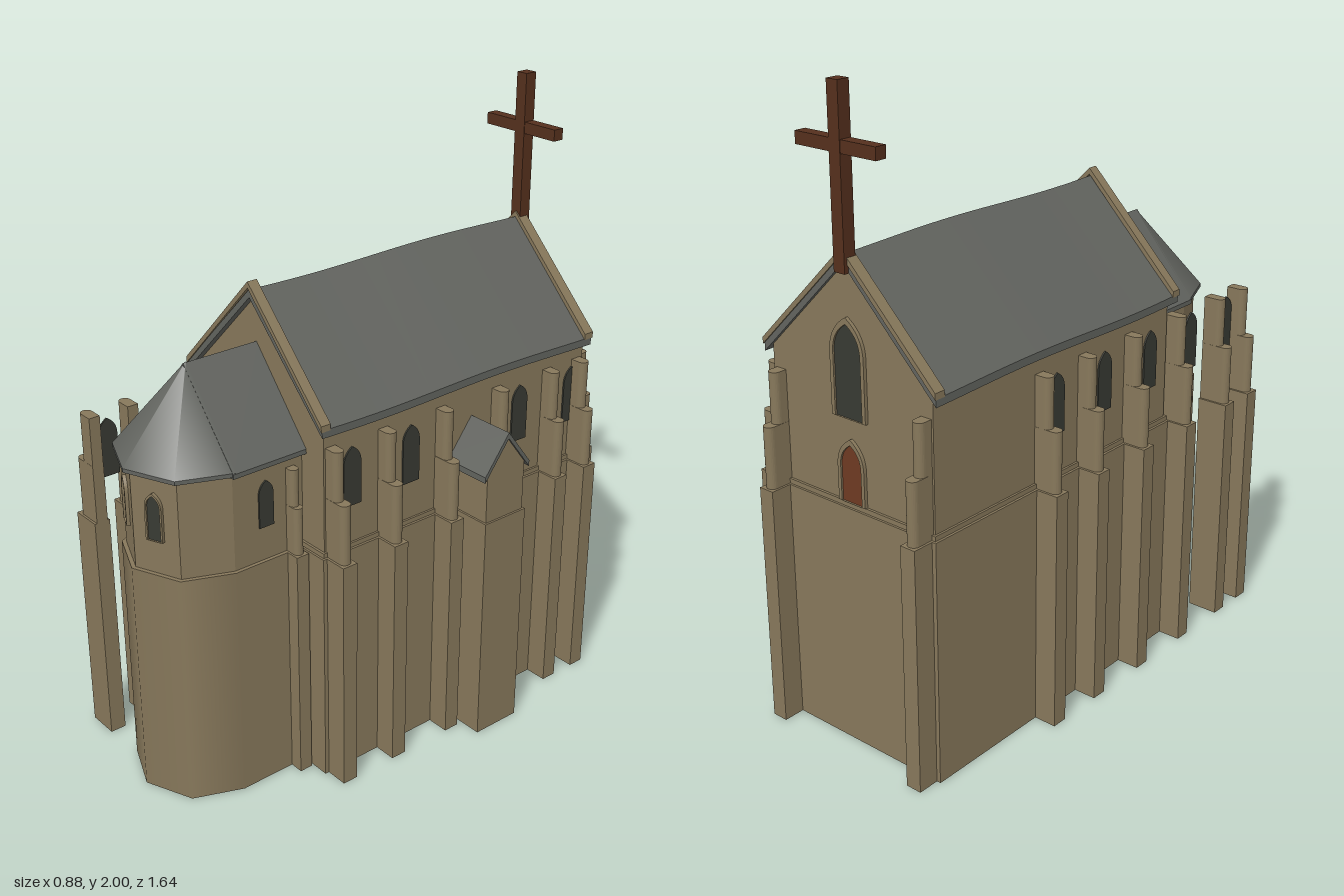
import * as THREE from 'three';

const mat = (name, color) => Object.assign(new THREE.MeshStandardMaterial({ color }), { name });
const CX = -0.04; // centre line of the building

export function createModel() {
  const root = new THREE.Group();
  root.name = 'church';
  const stone = mat('stone', 0x87785b);
  const slate = mat('slate', 0x62645f);
  const wood = mat('dark wood', 0x55301d);
  const glass = mat('dark glass', 0x383a33);
  const door = mat('door wood', 0x6e3a22);

  const add = (name, geo, material, parent = root) => {
    const m = new THREE.Mesh(geo, material);
    m.name = name;
    parent.add(m);
    return m;
  };
  // box given by its limits
  const box = (name, x0, x1, y0, y1, z0, z1, material, parent) => {
    const g = new THREE.BoxGeometry(x1 - x0, y1 - y0, z1 - z0);
    g.translate((x0 + x1) / 2, (y0 + y1) / 2, (z0 + z1) / 2);
    return add(name, g, material, parent);
  };
  const poly = (pts) => new THREE.Shape(pts.map(([x, y]) => new THREE.Vector2(x, y)));
  // profile in x/y swept from z0 to z1
  const prism = (pts, z0, z1, steps = 1) =>
    new THREE.ExtrudeGeometry(poly(pts), { depth: z1 - z0, steps, bevelEnabled: false }).translate(0, 0, z0);
  // inverted V section: half width, apex, eave, vertical thickness
  const chevron = (w, apex, eave, t) =>
    [[-w, eave], [-w, eave - t], [0, apex - t], [w, eave - t], [w, eave], [0, apex]];

  // Nave walls
  box('naveBase', CX - 0.325, CX + 0.325, 0, 0.775, -0.755, 0.355, stone);
  box('stringCourse', CX - 0.317, CX + 0.317, 0.775, 0.79, -0.748, 0.348, stone);
  add('naveWalls', prism([[-0.31, 0.77], [0.31, 0.77], [0.31, 1.2], [0, 1.51], [-0.31, 1.2]], -0.74, 0.34), stone)
    .position.x = CX;

  // Nave roof with a gently sagging ridge
  const roof = prism(chevron(0.333, 1.533, 1.203, 0.025), -0.752, 0.362, 16);
  const p = roof.attributes.position;
  for (let i = 0; i < p.count; i++) {
    p.setY(i, p.getY(i) + 0.005 * Math.cos((p.getZ(i) + 0.35) * Math.PI * 2));
  }
  roof.computeVertexNormals();
  add('naveRoof', roof, slate).position.x = CX;

  // Gable copings
  for (const [z0, z1, top] of [[0.333, 0.367, 1.557], [-0.757, -0.72, 1.548]]) {
    add('gableCoping', prism(chevron(0.335, top, 1.217, 0.02), z0, z1), stone).position.x = CX;
  }

  // Choir
  const AZ = 0.59; // centre of the apse
  box('choirBase', CX - 0.22, CX + 0.22, 0, 0.775, 0.3, AZ, stone);
  box('choirWalls', CX - 0.208, CX + 0.208, 0.77, 1.1, 0.3, AZ, stone);
  add('choirRoof', prism([[-0.23, 1.085], [0.23, 1.085], [0.23, 1.1], [0, 1.366], [-0.23, 1.1]], 0.335, 0.6), slate)
    .position.x = CX;

  // Apse: half octagon, smooth below and faceted above
  const half = (r0, r1, y0, y1) =>
    new THREE.CylinderGeometry(r1, r0, y1 - y0, 4, 1, false, -Math.PI / 2, Math.PI)
      .translate(CX, (y0 + y1) / 2, AZ);
  const faceted = (g) => {
    const f = g.toNonIndexed();
    f.computeVertexNormals();
    return f;
  };
  add('apseBase', half(0.222, 0.222, 0, 0.775), stone);
  add('apseWalls', faceted(half(0.208, 0.208, 0.77, 1.1)), stone);
  add('apseEave', faceted(half(0.23, 0.23, 1.09, 1.103)), slate);
  add('apseRoof', half(0.23, 0.002, 1.103, 1.368), slate);

  // Stepped buttress pointing along local +x
  const pier = (len, w, y0, y1) => {
    const s = new THREE.Shape();
    s.moveTo(0, -w / 2);
    s.lineTo(len - w / 2, -w / 2);
    s.absarc(len - w / 2, 0, w / 2, -Math.PI / 2, Math.PI / 2, false);
    s.lineTo(0, w / 2);
    return new THREE.ExtrudeGeometry(s, { depth: y1 - y0, bevelEnabled: false, curveSegments: 6 })
      .rotateX(Math.PI / 2).translate(0, y1, 0);
  };
  const buttress = (x, z, turn, lens = [0.105, 0.097, 0.065], tops = [0.97, 1.13], w = 0.053) => {
    const g = new THREE.Group();
    g.name = 'buttress';
    g.position.set(x, 0, z);
    g.rotation.y = turn;
    box('buttressBase', 0, lens[0], 0, 0.775, -w / 2, w / 2, stone, g);
    add('buttressMiddle', pier(lens[1], w * 0.72, 0.77, tops[0]), stone, g);
    add('buttressTop', pier(lens[2], w * 0.7, 0.77, tops[1]), stone, g);
    root.add(g);
  };
  for (const z of [-0.71, -0.575, -0.35, -0.115, 0.115, 0.315]) {
    buttress(0.255, z, 0);
    buttress(2 * CX - 0.255, 0.02 - z, Math.PI); // half-turn copy on the other side
  }
  for (const x of [-0.325, 0.24]) buttress(x, -0.72, Math.PI / 2);
  buttress(0.14, 0.385, 0, [0.085, 0.077, 0.06], [0.93, 1.05], 0.044);

  // Pointed-arch openings
  const arch = (w, h, C = THREE.Shape) => {
    const s = new C(), a = w / 2, spring = h - w * 0.85;
    s.moveTo(-a, 0);
    s.lineTo(a, 0);
    s.lineTo(a, spring);
    s.quadraticCurveTo(a, h - w * 0.3, 0, h);
    s.quadraticCurveTo(-a, h - w * 0.3, -a, spring);
    s.lineTo(-a, 0);
    return s;
  };
  const opening = (name, x, y, z, turn, w, h, material, border = 0) => {
    const g = new THREE.Group();
    g.name = name;
    g.position.set(x, y, z);
    g.rotation.y = turn;
    add(name + 'Panel', new THREE.ExtrudeGeometry(arch(w, h), { depth: 0.006, bevelEnabled: false }), material, g);
    if (border) {
      const s = arch(w + 2 * border, h + border * 1.5);
      s.holes.push(arch(w, h, THREE.Path));
      add(name + 'Frame', new THREE.ExtrudeGeometry(s, { depth: 0.012, bevelEnabled: false }), stone, g);
    }
    root.add(g);
  };
  const Q = Math.PI / 2;
  for (const z of [0.235, 0.005, -0.23, -0.455, -0.69]) {
    if (z !== -0.23) opening('naveWindow', 0.269, 0.915, z, Q, 0.066, 0.192, glass);
    opening('naveWindow', 2 * CX - 0.269, 0.915, 0.02 - z - (z < -0.6 ? 0.03 : 0), -Q, 0.066, 0.192, glass);
  }
  for (const s of [-1, 1]) {
    opening('choirWindow', CX + s * 0.207, 0.885, 0.475, s * Q, 0.052, 0.15, glass);
    const a = s * Math.PI / 8;
    opening('apseWindow', CX + Math.sin(a) * 0.191, 0.885, AZ + Math.cos(a) * 0.191, a, 0.046, 0.145, glass, 0.006);
  }
  opening('rearWindow', CX, 1.05, -0.739, Math.PI, 0.105, 0.28, glass, 0.013);
  opening('rearDoor', CX, 0.79, -0.739, Math.PI, 0.08, 0.18, door, 0.012);

  // Side chapel with its own little gable roof
  const chapel = new THREE.Group();
  chapel.name = 'sideChapel';
  chapel.position.z = -0.247;
  chapel.rotation.y = Q;
  box('chapelBase', -0.085, 0.085, 0, 0.775, 0.25, 0.435, stone, chapel);
  add('chapelWalls', prism([[-0.078, 0.77], [0.078, 0.77], [0.078, 0.945], [0, 1.045], [-0.078, 0.945]], 0.25, 0.428),
    stone, chapel);
  add('chapelRoof', prism(chevron(0.094, 1.063, 0.94, 0.02), 0.25, 0.435), slate, chapel);
  root.add(chapel);

  // Cross on the rear gable
  box('crossPost', -0.064, -0.023, 1.48, 2, -0.767, -0.725, wood);
  box('crossArm', -0.192, 0.107, 1.808, 1.845, -0.765, -0.727, wood);
  return root;
}
